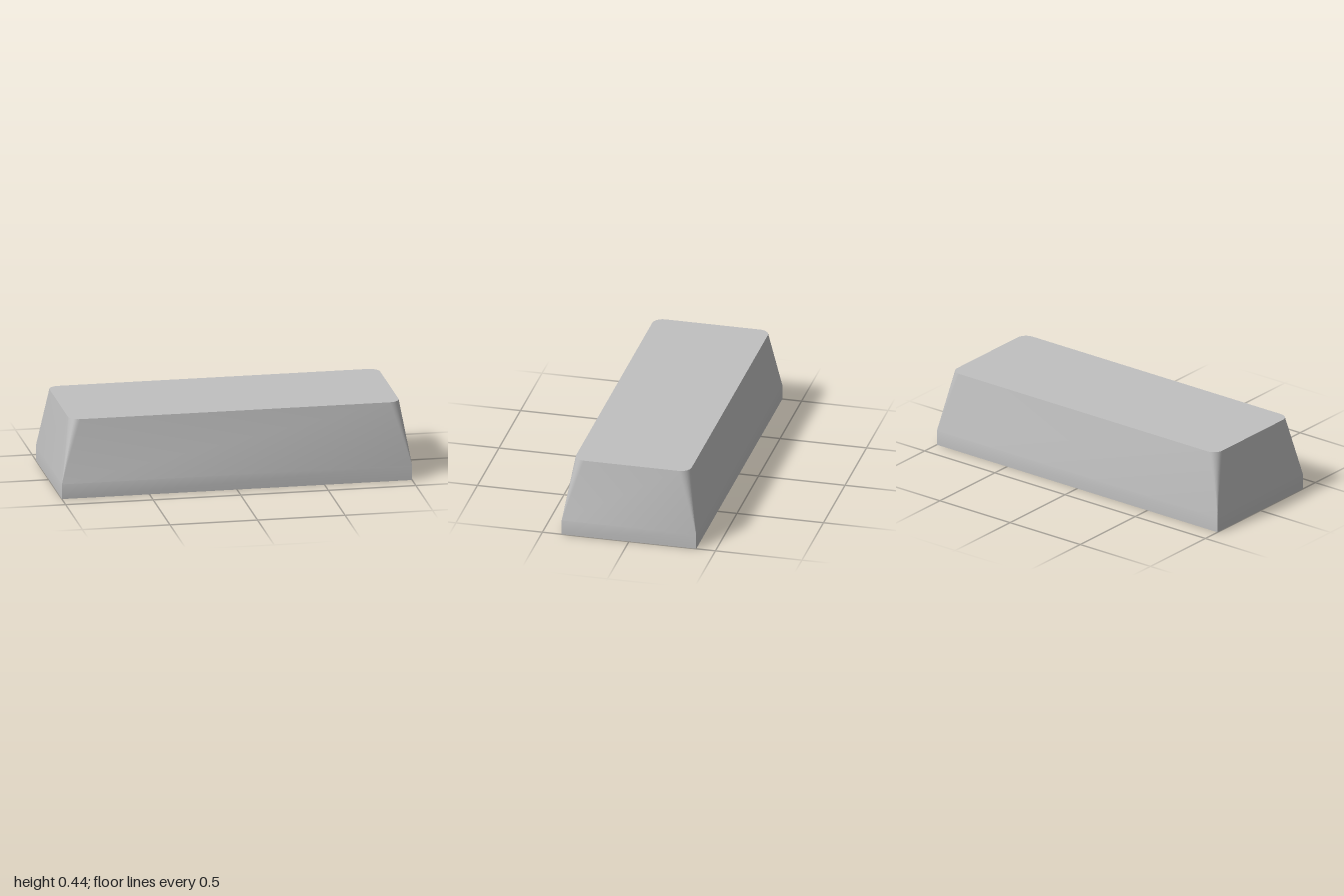
import * as THREE from 'three';
import { toCreasedNormals } from 'three/addons/utils/BufferGeometryUtils.js';

const CORNER_STEPS = 8;

// Rectangular ring at height y; every corner has the same number of points
function ring(halfX, halfZ, radius, y) {
  const points = [];
  for (let corner = 0; corner < 4; corner++) {
    const sx = corner === 0 || corner === 3 ? 1 : -1;
    const sz = corner < 2 ? 1 : -1;
    for (let i = 0; i <= CORNER_STEPS; i++) {
      const a = (corner + i / CORNER_STEPS) * Math.PI / 2;
      points.push(new THREE.Vector3(
        sx * (halfX - radius) + radius * Math.cos(a), y,
        sz * (halfZ - radius) + radius * Math.sin(a)));
    }
  }
  return points;
}

// Closed loft through the rings, from bottom to top
function loft(rings) {
  const positions = [];
  const tri = (a, b, c) => {
    if (new THREE.Triangle(a, b, c).getArea() < 1e-7) return;
    for (const p of [a, b, c]) positions.push(p.x, p.y, p.z);
  };
  const bottom = rings[0], top = rings[rings.length - 1], n = bottom.length;
  const bottomCentre = new THREE.Vector3(0, bottom[0].y, 0);
  const topCentre = new THREE.Vector3(0, top[0].y, 0);
  for (let i = 0; i < n; i++) {
    const j = (i + 1) % n;
    for (let k = 0; k < rings.length - 1; k++) {
      const lower = rings[k], upper = rings[k + 1];
      tri(lower[i], upper[i], lower[j]);
      tri(lower[j], upper[i], upper[j]);
    }
    tri(bottomCentre, bottom[i], bottom[j]);
    tri(topCentre, top[j], top[i]);
  }
  const geometry = new THREE.BufferGeometry();
  geometry.setAttribute('position', new THREE.Float32BufferAttribute(positions, 3));
  return toCreasedNormals(geometry, Math.PI / 6);
}

export function createModel() {
  const group = new THREE.Group();
  group.name = 'taperedBlock';
  const grey = new THREE.MeshStandardMaterial({ color: 0xc0c0c0 });
  grey.name = 'light grey';

  // Straight sharp-cornered foot, then sides tapering to a rounded top
  const body = new THREE.Mesh(loft([
    ring(1, 0.389, 0, 0),
    ring(1, 0.389, 0, 0.086),
    ring(0.944, 0.334, 0.06, 0.445),
  ]), grey);
  body.name = 'body';
  group.add(body);
  return group;
}
